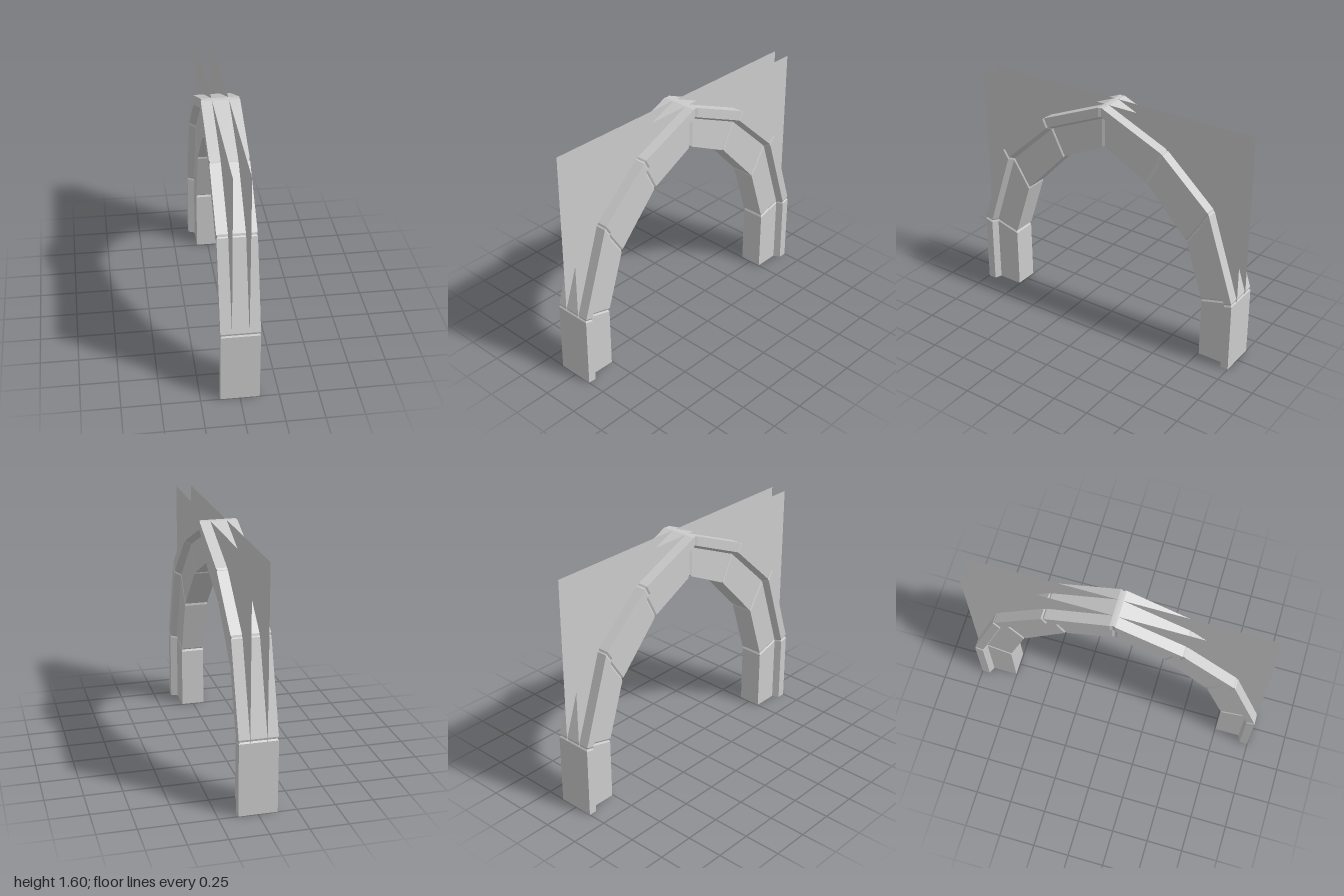
import * as THREE from 'three';

const material = new THREE.MeshStandardMaterial({ color: 0xcccccc, flatShading: true, side: THREE.DoubleSide });

// Joints of the arch from foot to crown, as (z, y), on its outer and inner line
const outerHalf = [[1, 0], [1, 0.495], [0.805, 1.095], [0.455, 1.41], [0, 1.607]];
const innerHalf = [[0.755, 0], [0.757, 0.43], [0.63, 0.825], [0.325, 1.152], [0, 1.315]];

function mirrored(half) {
  const pts = half.map(([z, y]) => new THREE.Vector2(z, y));
  return [...pts, ...pts.slice(0, -1).reverse().map((p) => new THREE.Vector2(-p.x, p.y))];
}

const outer = mirrored(outerHalf);
const inner = mirrored(innerHalf);

// Cross-section as (x, depth): wide outer trim, bevel, narrower inner block
const side = [[0.125, 0], [0.125, 0.225], [0.08, 0.305], [0.08, 1]];
const section = [...side, ...side.slice().reverse().map(([x, t]) => [-x, t])];

function ring(o, i, inset) {
  const shrink = inset / o.distanceTo(i);
  return section.map(([x, t]) => {
    const depth = t === 0 ? shrink : t === 1 ? 1 - shrink : t;
    const p = o.clone().lerp(i, depth);
    return new THREE.Vector3(x - Math.sign(x) * inset, p.y, p.x);
  });
}

// Point at a small distance from joint k towards joint n
function towards(path, k, n, distance) {
  const step = path[n].clone().sub(path[k]).setLength(distance);
  return path[k].clone().add(step);
}

// Arch stones: open at the feet, with a shallow bevelled groove at each joint
function archGeometry() {
  const last = outer.length - 1;
  const rings = [ring(outer[0], inner[0], 0)];
  for (let k = 1; k < last; k++) {
    const w = k === last / 2 ? 0.02 : 0.012;
    rings.push(ring(towards(outer, k, k - 1, w), towards(inner, k, k - 1, w), 0));
    rings.push(ring(outer[k], inner[k], 0.007));
    rings.push(ring(towards(outer, k, k + 1, w), towards(inner, k, k + 1, w), 0));
  }
  rings.push(ring(outer[last], inner[last], 0));

  const points = [];
  for (let k = 0; k < rings.length - 1; k++) {
    for (let j = 0; j < section.length; j++) {
      const n = (j + 1) % section.length;
      const [a, b, c, d] = [rings[k][j], rings[k][n], rings[k + 1][n], rings[k + 1][j]];
      points.push(a, b, c, a, c, d);
    }
  }
  const geometry = new THREE.BufferGeometry().setFromPoints(points);
  geometry.computeVertexNormals();
  return geometry;
}

// Thin wall sheet filling the corners above the arch
function wallGeometry() {
  const edge = outer.map((o, k) => o.clone().lerp(inner[k], 0.12));
  const shape = new THREE.Shape([
    new THREE.Vector2(-1, 0), new THREE.Vector2(-1, 1.6),
    new THREE.Vector2(1, 1.6), new THREE.Vector2(1, 0), ...edge,
  ]);
  return new THREE.ShapeGeometry(shape);
}

export function createModel() {
  const model = new THREE.Group();
  model.name = 'archway';

  const arch = new THREE.Mesh(archGeometry(), material);
  arch.name = 'archStones';
  model.add(arch);

  for (const s of [1, -1]) {
    const wall = new THREE.Mesh(wallGeometry(), material);
    wall.name = s > 0 ? 'leftWall' : 'rightWall';
    wall.rotation.y = s * Math.PI / 2;
    wall.position.x = s * 0.054;
    model.add(wall);
  }
  return model;
}
